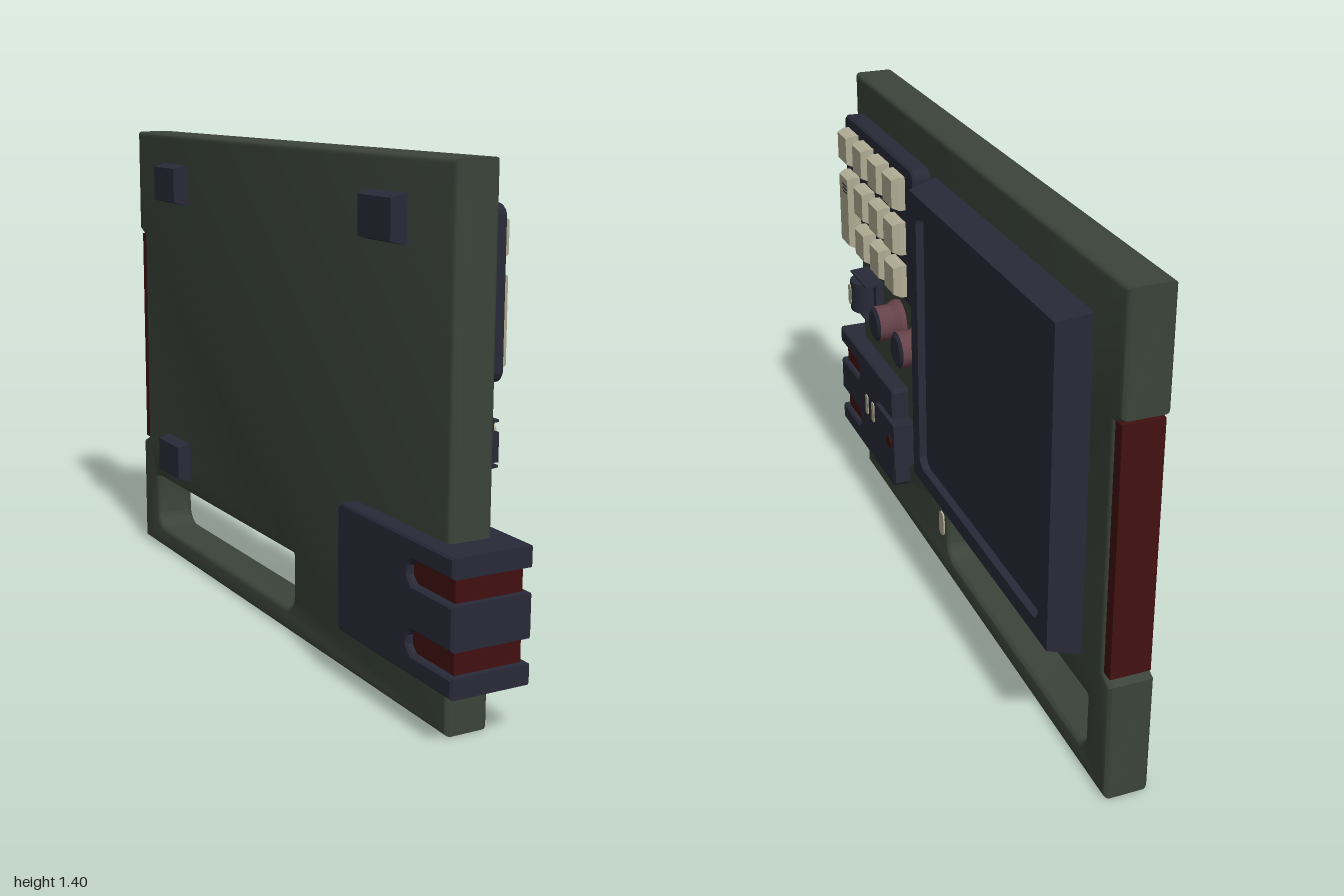
import * as THREE from 'three';
import { toCreasedNormals } from 'three/addons/utils/BufferGeometryUtils.js';

const mat = (name, color) => {
  const m = new THREE.MeshStandardMaterial({ color });
  m.name = name;
  return m;
};

export function createModel() {
  const green = mat('olive casing', 0x3b443a);
  const navy = mat('dark navy', 0x292a38);
  const red = mat('dark red', 0x421010);
  const cream = mat('cream', 0xb3ae95);
  const mauve = mat('mauve', 0x66424a);
  const model = new THREE.Group();

  const add = (name, geometry, material, parent = model) => {
    const mesh = new THREE.Mesh(geometry, material);
    mesh.name = name;
    parent.add(mesh);
    return mesh;
  };
  const group = (name) => {
    const g = new THREE.Group();
    g.name = name;
    model.add(g);
    return g;
  };

  // Rounded rectangle in the side plane, drawn with u = -z and v = y
  const rect = (zMax, zMin, y0, y1, r = 0, Type = THREE.Shape, rTop = r) => {
    const a = -zMax, b = -zMin, s = new Type();
    s.moveTo(a + r, y0).lineTo(b - r, y0);
    if (r) s.absarc(b - r, y0 + r, r, -Math.PI / 2, 0);
    s.lineTo(b, y1 - rTop);
    if (rTop) s.absarc(b - rTop, y1 - rTop, rTop, 0, Math.PI / 2);
    s.lineTo(a + rTop, y1);
    if (rTop) s.absarc(a + rTop, y1 - rTop, rTop, Math.PI / 2, Math.PI);
    s.lineTo(a, y0 + r);
    if (r) s.absarc(a + r, y0 + r, r, Math.PI, Math.PI * 1.5);
    return s;
  };

  // Extrudes a side-plane shape from x0 to x1 with bevelled edges
  const slab = (shape, x0, x1, bevel = 0, segments = 1) => {
    let g = new THREE.ExtrudeGeometry(shape, {
      depth: x1 - x0 - 2 * bevel, curveSegments: 6, bevelEnabled: bevel > 0,
      bevelSize: bevel, bevelThickness: bevel, bevelOffset: -bevel, bevelSegments: segments,
    });
    g.translate(0, 0, x0 + bevel).rotateY(Math.PI / 2);
    return toCreasedNormals(g, 0.6);
  };
  const box = (x0, x1, y0, y1, z0, z1) =>
    new THREE.BoxGeometry(x1 - x0, y1 - y0, z1 - z0)
      .translate((x0 + x1) / 2, (y0 + y1) / 2, (z0 + z1) / 2);

  // Box whose face at the far x end is inset by a margin
  const taperBox = (x0, x1, y0, y1, z0, z1, inset) => {
    const g = box(Math.min(x0, x1), Math.max(x0, x1), y0, y1, z0, z1).toNonIndexed();
    const p = g.attributes.position;
    for (let i = 0; i < p.count; i++) {
      if (Math.abs(p.getX(i) - x1) > 1e-4) continue;
      p.setY(i, p.getY(i) + (p.getY(i) > (y0 + y1) / 2 ? -inset : inset));
      p.setZ(i, p.getZ(i) + (p.getZ(i) > (z0 + z1) / 2 ? -inset : inset));
    }
    g.computeVertexNormals();
    return g;
  };

  // Casing with an edge notch and a handle slot
  const casing = new THREE.Shape();
  [[-0.905, 0], [1, 0], [1, 0.345], [0.957, 0.365], [0.957, 1.055], [1, 1.075], [1, 1.397], [-0.905, 1.397]]
    .forEach(([u, v], i) => (i ? casing.lineTo(u, v) : casing.moveTo(u, v)));
  casing.holes.push(rect(0.11, -0.88, 0.07, 0.243, 0.05, THREE.Path, 0.004));
  add('casing', slab(casing, -0.085, 0.04, 0.015, 3), green);
  add('edgeStrip', box(-0.078, 0.033, 0.362, 1.06, -0.988, -0.95), red);

  // Screen frame with sloping outer sides
  const frameShape = rect(0.18, -0.845, 0.34, 1.28);
  frameShape.holes.push(rect(0.105, -0.765, 0.41, 1.205, 0.035, THREE.Path));
  const frame = slab(frameShape, 0.03, 0.128);
  const fp = frame.attributes.position;
  for (let i = 0; i < fp.count; i++) {
    const y = fp.getY(i), z = fp.getZ(i);
    if (fp.getX(i) < 0.1) continue;
    if (z > 0.17 || z < -0.83) fp.setZ(i, z - Math.sign(z) * 0.022);
    if (y < 0.35) fp.setY(i, y + 0.022);
    if (y > 1.27) fp.setY(i, y - 0.022);
  }
  frame.computeVertexNormals();
  add('screenFrame', frame, navy);
  add('screen', box(0.04, 0.105, 0.4, 1.215, -0.775, 0.115), navy);

  // Keypad
  const keypad = group('keypad');
  add('keypadPlate', slab(rect(0.86, 0.22, 0.855, 1.285, 0.03), 0.035, 0.094, 0.006), navy, keypad);
  const key = (z1, y0, y1) => {
    add('keyBase', box(0.09, 0.112, y0, y1, z1 - 0.1, z1), cream, keypad);
    add('keyTop', taperBox(0.112, 0.133, y0, y1, z1 - 0.1, z1, 0.009), cream, keypad);
  };
  [0.82, 0.672, 0.527, 0.388].forEach((z, col) => {
    [1.15, 1.013, 0.88].forEach((y, row) => {
      if (col || !row) key(z, y, y + 0.1);
    });
  });
  key(0.82, 0.88, 1.115);
  for (let i = 0; i < 3; i++) {
    add('keyMark', box(0.13, 0.1345, 1.06 + i * 0.011, 1.064 + i * 0.011, 0.735, 0.78 - (2 - i) * 0.003), navy, keypad);
  }

  // Knobs
  for (const z of [0.516, 0.307]) {
    const knob = group('knob');
    const turned = (pts) => new THREE.LatheGeometry(pts.map(([r, x]) => new THREE.Vector2(r, x)), 24)
      .rotateZ(-Math.PI / 2);
    add('knobBody', toCreasedNormals(turned([[0.068, 0.035], [0.068, 0.055], [0.056, 0.075], [0.056, 0.122]]), 0.4), mauve, knob);
    add('knobCap', toCreasedNormals(turned([[0.056, 0.122], [0.043, 0.13], [0, 0.13]]), 0.3), navy, knob);
    knob.position.set(0, 0.703, z);
  }

  // Rocker switch in a cradle
  const rocker = group('rockerSwitch');
  add('switchBase', box(0.035, 0.065, 0.645, 0.755, 0.68, 0.84), navy, rocker);
  add('switchTab', box(0.035, 0.075, 0.665, 0.74, 0.83, 0.872), navy, rocker);
  for (const y of [0.637, 0.751]) {
    add('cradleSide', taperBox(0.035, 0.1, y, y + 0.014, 0.68, 0.84, 0.004), navy, rocker);
  }
  const barrel = new THREE.CylinderGeometry(0.062, 0.062, 0.1, 20);
  add('rockerBarrel', barrel.translate(0.06, 0.701, 0.765), navy, rocker);
  add('switchPip', slab(rect(0.792, 0.764, 0.668, 0.736, 0.013), 0.115, 0.124), cream, rocker);

  // Clamp block around the front edge, with two slots at its end
  const clamp = group('clampBlock');
  const slots = [[0.372, 0.436], [0.194, 0.258]];
  const body = new THREE.Shape();
  body.moveTo(-1, 0.14).lineTo(-0.467, 0.14).lineTo(-0.455, 0.152).lineTo(-0.455, 0.478)
    .lineTo(-0.467, 0.49).lineTo(-1, 0.49);
  for (const [y0, y1] of slots) {
    body.lineTo(-1, y1).lineTo(-0.82, y1).lineTo(-0.8, y1 - 0.02)
      .lineTo(-0.8, y0 + 0.02).lineTo(-0.82, y0).lineTo(-1, y0);
  }
  add('clampBody', slab(body, -0.135, 0.094, 0.006), navy, clamp);
  for (const [y0, y1] of slots) {
    add('slotBar', box(-0.115, 0.076, y0, y1, 0.79, 0.982), red, clamp);
  }
  add('latch', box(0.03, 0.109, 0.242, 0.39, 0.402, 0.583), navy, clamp);
  add('latchDot', new THREE.CylinderGeometry(0.02, 0.02, 0.006, 16)
    .rotateZ(-Math.PI / 2).translate(0.109, 0.317, 0.45), red, clamp);
  for (const z of [0.72, 0.657]) {
    add('clampMark', slab(rect(z + 0.013, z - 0.013, 0.285, 0.355, 0.008), 0.09, 0.097), cream, clamp);
  }

  // Indicator beside the handle slot
  add('indicator', slab(rect(0.17, 0.132, 0.125, 0.205, 0.016), 0.037, 0.045), cream);

  // Feet on the reverse side
  for (const [y, z] of [[1.242, -0.69], [1.242, 0.61], [0.35, -0.69]]) {
    add('foot', taperBox(-0.08, -0.125, y - 0.064, y + 0.064, z - 0.09, z + 0.09, 0.012), navy);
  }
  return model;
}
